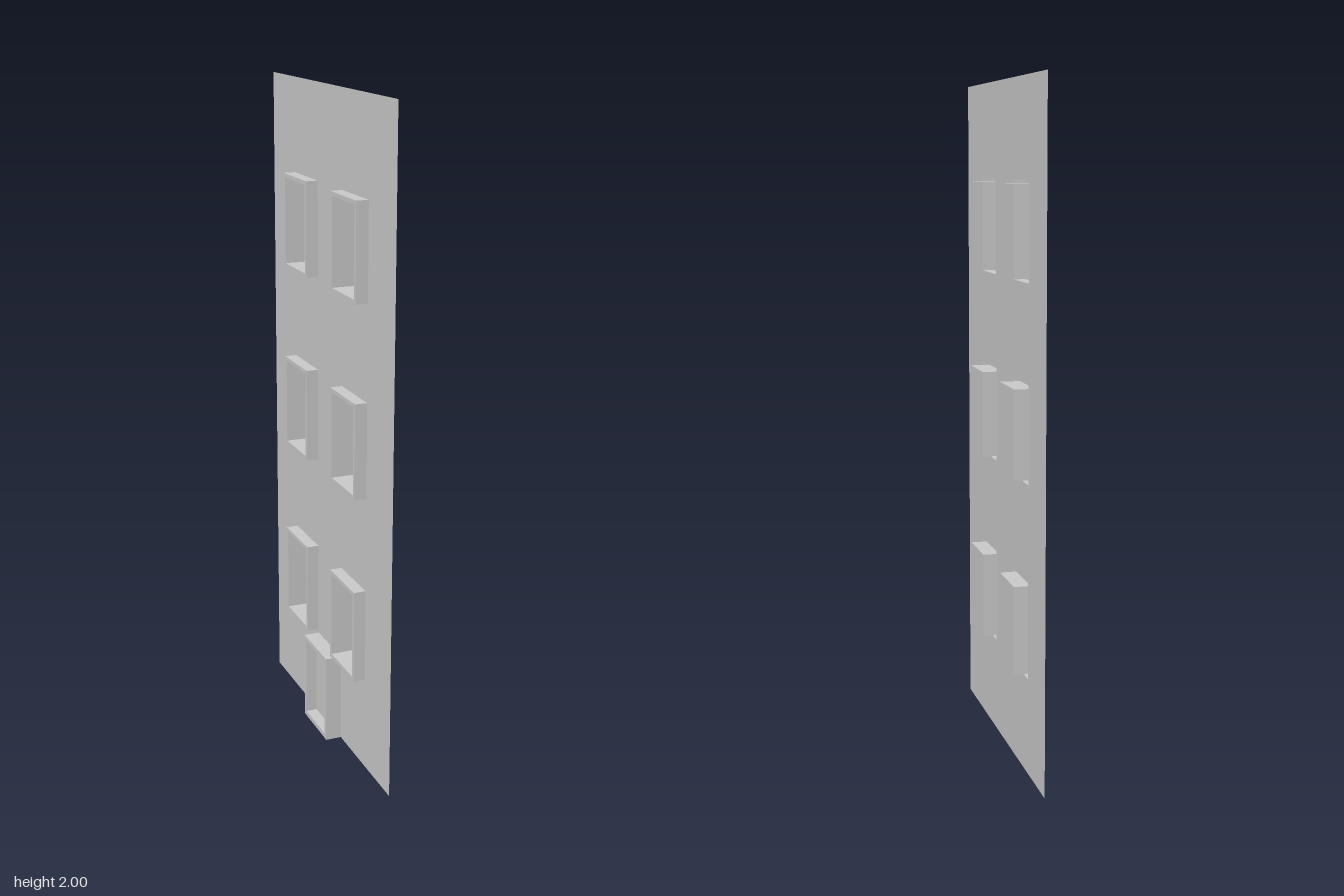
import * as THREE from 'three';

const WALL_X = 0.004;
const material = new THREE.MeshStandardMaterial({ color: 0xcccccc, flatShading: true, side: THREE.DoubleSide });

// Sheet folded through a series of upright rectangles, closed by the last one.
// Each rectangle is { x, w, y0, y1 }: w is the half width along z.
function foldedSheet(rects, openBottom = false) {
  const corners = rects.map(({ x, w, y0, y1 }) => [[x, y0, -w], [x, y0, w], [x, y1, w], [x, y1, -w]]);
  const pos = [];
  const quad = (a, b, c, d) => pos.push(...a, ...b, ...c, ...a, ...c, ...d);
  for (let k = 0; k < corners.length - 1; k++) {
    const A = corners[k], B = corners[k + 1];
    for (let i = 0; i < 4; i++) {
      if (openBottom && k === 0 && i === 0) continue;
      const j = (i + 1) % 4;
      quad(A[i], A[j], B[j], B[i]);
    }
  }
  quad(...corners[corners.length - 1]);
  const geometry = new THREE.BufferGeometry();
  geometry.setAttribute('position', new THREE.Float32BufferAttribute(pos, 3));
  geometry.computeVertexNormals();
  return geometry;
}

export function createModel() {
  const model = new THREE.Group();
  model.name = 'facade';
  const add = (name, geometry) => {
    const mesh = new THREE.Mesh(geometry, material);
    mesh.name = name;
    model.add(mesh);
    return mesh;
  };

  const W = 0.47, H = 2;            // wall half width and height
  const winW = 0.094, winH = 0.143; // window half sizes
  const rail = 0.012;               // window frame width

  const wall = new THREE.Shape([
    new THREE.Vector2(-W, 0), new THREE.Vector2(W, 0),
    new THREE.Vector2(W, H), new THREE.Vector2(-W, H),
  ]);

  // Windows: raised frame, then a deep recess that comes out behind the wall
  const windowGeometry = foldedSheet([
    { x: WALL_X, w: winW, y0: -winH, y1: winH },
    { x: -0.033, w: winW, y0: -winH, y1: winH },
    { x: -0.033, w: winW - rail, y0: -winH + rail, y1: winH - rail },
    { x: 0.043, w: winW - rail, y0: -winH + rail, y1: winH - rail },
  ]);
  for (const y of [0.431, 1.003, 1.574]) {
    for (const z of [-0.19, 0.19]) {
      add('window', windowGeometry).position.set(0, y, z);
      wall.holes.push(new THREE.Path([
        new THREE.Vector2(z - winW, y - winH), new THREE.Vector2(z - winW, y + winH),
        new THREE.Vector2(z + winW, y + winH), new THREE.Vector2(z + winW, y - winH),
      ]));
    }
  }

  // Thin wall, cut open at the windows
  add('wall', new THREE.ShapeGeometry(wall).rotateY(-Math.PI / 2));
  model.children[model.children.length - 1].position.x = WALL_X;

  // Door: raised frame with a recessed panel, open underneath
  const doorW = 0.094, doorH = 0.277, doorRail = 0.015;
  add('door', foldedSheet([
    { x: WALL_X, w: doorW, y0: 0, y1: doorH },
    { x: -0.045, w: doorW, y0: 0, y1: doorH },
    { x: -0.045, w: doorW - doorRail, y0: doorRail, y1: doorH - doorRail },
    { x: -0.01, w: doorW - doorRail, y0: doorRail, y1: doorH - doorRail },
  ], true));

  return model;
}
